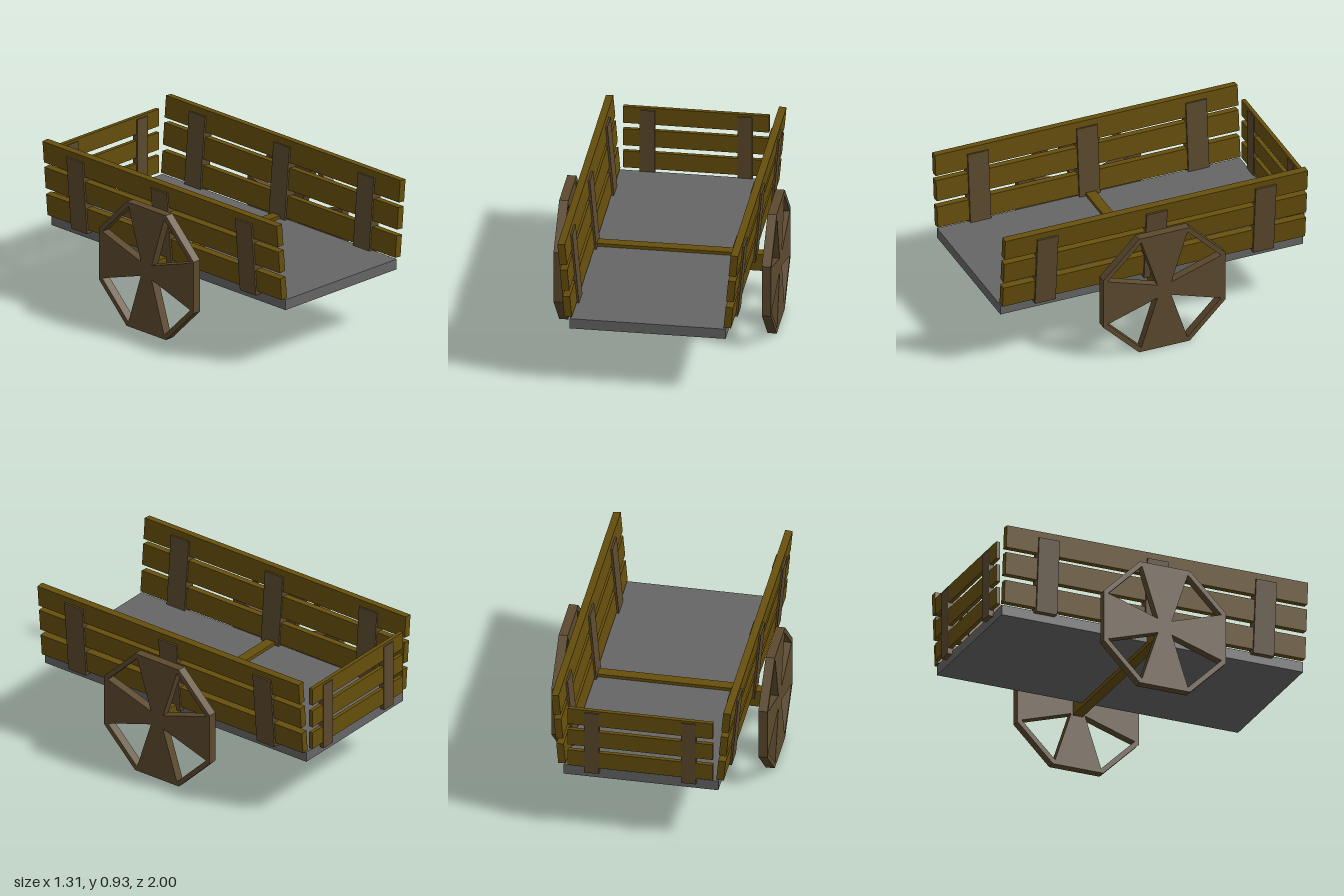
import * as THREE from 'three';

const plankMat = new THREE.MeshStandardMaterial({ color: 0x664f0c });
const postMat = new THREE.MeshStandardMaterial({ color: 0x5c4a2e });
const bedMat = new THREE.MeshStandardMaterial({ color: 0x666666 });

function box(name, mat, size, pos, parent) {
  const mesh = new THREE.Mesh(new THREE.BoxGeometry(...size), mat);
  mesh.name = name;
  mesh.position.set(...pos);
  parent.add(mesh);
  return mesh;
}

// Octagonal wheel with four triangular openings that leave flared spokes
function wheelGeometry(thickness) {
  const R = 0.398, F = 0.165;
  const shape = new THREE.Shape([
    [F, R], [-F, R], [-R, F], [-R, -F], [-F, -R], [F, -R], [R, -F], [R, F],
  ].map(([x, y]) => new THREE.Vector2(x, y)));
  for (const sx of [1, -1]) {
    for (const sy of [1, -1]) {
      shape.holes.push(new THREE.Path([
        [0.045, 0.045], [0.15, 0.37], [0.37, 0.15],
      ].map(([x, y]) => new THREE.Vector2(sx * x, sy * y))));
    }
  }
  const geo = new THREE.ExtrudeGeometry(shape, { depth: thickness, bevelEnabled: false });
  geo.translate(0, 0, -thickness / 2);
  return geo.rotateY(Math.PI / 2);
}

export function createModel() {
  const cart = new THREE.Group();
  cart.name = 'cart';

  // Floor and axle
  box('bed', bedMat, [0.94, 0.065, 1.97], [0, 0.4025, 0.015], cart);
  box('axle', plankMat, [1.2, 0.11, 0.065], [0, 0.4, 0.01], cart);

  const wheelGeo = wheelGeometry(0.055);
  for (const s of [1, -1]) {
    const label = s > 0 ? 'left' : 'right';

    // Wheels
    const wheel = new THREE.Mesh(wheelGeo, postMat);
    wheel.name = label + 'Wheel';
    wheel.position.set(s * 0.628, 0.4, 0.013);
    cart.add(wheel);

    // Side walls leaning outward
    const wall = new THREE.Group();
    wall.name = label + 'Wall';
    wall.position.set(s * 0.498, 0.653, 0.015);
    wall.rotation.z = -s * THREE.MathUtils.degToRad(5);
    for (const y of [0.207, 0.037, -0.14]) {
      box('sidePlank', plankMat, [0.045, 0.138, 1.97], [0, y, 0], wall);
    }
    for (const z of [0.71, 0, -0.71]) {
      box('sidePost', postMat, [0.068, 0.47, 0.135], [0, 0, z], wall);
    }
    cart.add(wall);
  }

  // Back wall
  const back = new THREE.Group();
  back.name = 'backWall';
  for (const y of [0.805, 0.655, 0.507]) {
    box('backPlank', plankMat, [0.88, 0.11, 0.025], [0, y, -0.981], back);
  }
  for (const x of [0.294, -0.294]) {
    box('backPost', postMat, [0.09, 0.43, 0.038], [x, 0.63, -0.981], back);
  }
  cart.add(back);

  return cart;
}
